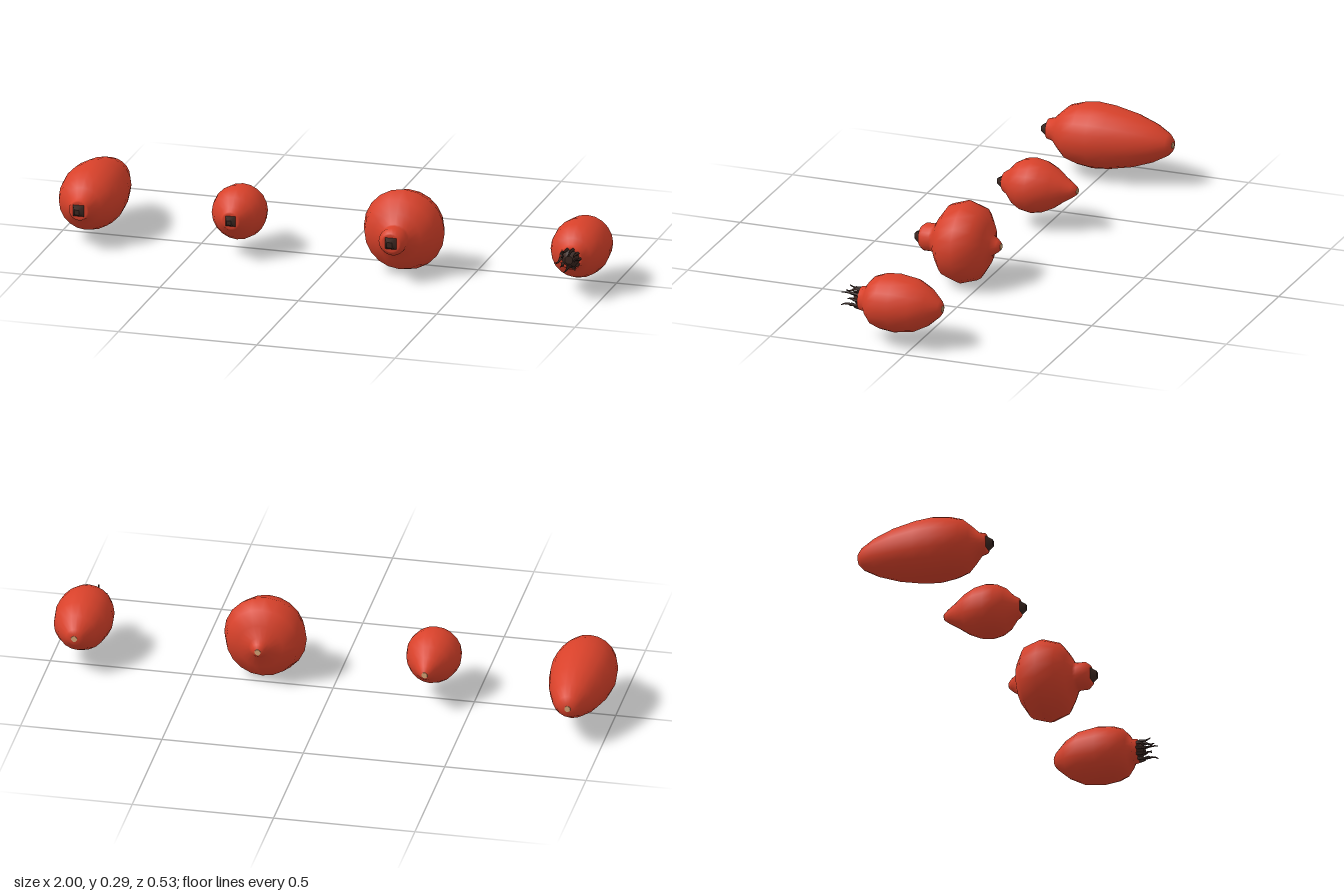
import * as THREE from 'three';

const CY = 0.148; // height of every fruit's axis

const red = new THREE.MeshStandardMaterial({ color: 0xd8412a });
const dark = new THREE.MeshStandardMaterial({ color: 0x3a2620, side: THREE.DoubleSide });
const pale = new THREE.MeshStandardMaterial({ color: 0xd9a777 });

// Each fruit lies along z; profile is [z, radius] from stalk end to crown end
const FRUITS = [
  {
    name: 'longFruit', x: -0.884, bud: [0.19, 0.222, 0.036],
    profile: [[-0.263, 0.022], [-0.247, 0.04], [-0.197, 0.068], [-0.123, 0.094], [-0.04, 0.111],
      [0.02, 0.116], [0.075, 0.109], [0.12, 0.095], [0.15, 0.068], [0.175, 0.042], [0.198, 0.036], [0.2, 0.03]],
  },
  {
    name: 'smallFruit', x: -0.348, bud: [0.15, 0.178, 0.032],
    profile: [[-0.117, 0.013], [-0.1, 0.026], [-0.07, 0.045], [-0.035, 0.071], [0.005, 0.09],
      [0.045, 0.097], [0.08, 0.091], [0.112, 0.073], [0.137, 0.045], [0.155, 0.033], [0.158, 0.027]],
  },
  {
    name: 'roundFruit', x: 0.253, bud: [0.215, 0.25, 0.04],
    profile: [[-0.067, 0.013], [-0.055, 0.024], [-0.035, 0.038], [-0.022, 0.08], [0.007, 0.127],
      [0.067, 0.146], [0.127, 0.126], [0.155, 0.086], [0.174, 0.052], [0.185, 0.049], [0.212, 0.049],
      [0.228, 0.036], [0.23, 0.03]],
  },
  {
    name: 'ovalFruit', x: 0.895, bud: [0.19, 0.225, 0.044], sepals: 10,
    profile: [[-0.099, 0.018], [-0.09, 0.031], [-0.05, 0.067], [0, 0.093], [0.07, 0.103],
      [0.12, 0.097], [0.153, 0.085], [0.172, 0.064], [0.184, 0.045], [0.202, 0.042], [0.204, 0.036]],
  },
];

function addMesh(parent, name, geometry, material) {
  const mesh = new THREE.Mesh(geometry, material);
  mesh.name = name;
  parent.add(mesh);
  return mesh;
}

// Tapered prism or disc running along z from z0 to z1
function alongZ(z0, z1, r0, r1, sides) {
  const g = new THREE.CylinderGeometry(r1, r0, z1 - z0, sides, 1, false, Math.PI / sides);
  return g.rotateX(Math.PI / 2).translate(0, 0, (z0 + z1) / 2);
}

// Thin pointed sepal, bent outward, drawn as a tapering tube
function sepal(angle, reach, z1) {
  const at = (r, z, turn = 0) =>
    new THREE.Vector3(Math.cos(angle + turn) * r, Math.sin(angle + turn) * r, z);
  const curve = new THREE.CatmullRomCurve3([
    at(0.033, 0.195), at(0.034, 0.22, 0.1), at(reach * 0.85, z1 - 0.015, 0.15), at(reach, z1, 0.05),
  ]);
  const g = new THREE.TubeGeometry(curve, 6, 0.007, 5, false);
  const p = g.attributes.position, v = new THREE.Vector3();
  for (let i = 0; i < p.count; i++) {
    const t = Math.floor(i / 6) / 6;
    const c = curve.getPointAt(t);
    v.fromBufferAttribute(p, i).sub(c).multiplyScalar(1 - 0.75 * t).add(c);
    p.setXYZ(i, v.x, v.y, v.z);
  }
  g.computeVertexNormals();
  return g;
}

function makeFruit({ name, x, profile, bud, sepals = 0 }) {
  const fruit = new THREE.Group();
  fruit.name = name;
  fruit.position.set(x, CY, 0);

  // Skin: turned body with closed ends
  const first = profile[0], last = profile[profile.length - 1];
  const points = [[first[0], 0], ...profile, [last[0], 0]].map(([z, r]) => new THREE.Vector2(r, z));
  addMesh(fruit, 'skin', new THREE.LatheGeometry(points, 20).rotateX(Math.PI / 2), red);

  // Pale scar where the stalk was
  addMesh(fruit, 'stalkScar', alongZ(first[0] - 0.002, first[0] + 0.004, 0.011, 0.012, 8), pale);

  // Dark dried crown
  const [z0, z1, r] = bud;
  addMesh(fruit, 'crownBud', alongZ(z0, z1, r, r * 0.35, sepals ? 8 : 4), dark);
  for (let i = 0; i < sepals; i++) {
    const reach = 0.026 + 0.007 * ((i * 2) % 4);
    const end = 0.243 + 0.007 * ((i * 3) % 4);
    addMesh(fruit, 'sepal', sepal((i / sepals) * Math.PI * 2, reach, end), dark);
  }
  return fruit;
}

export function createModel() {
  const group = new THREE.Group();
  group.name = 'rosehips';
  FRUITS.forEach((f) => group.add(makeFruit(f)));
  return group;
}
